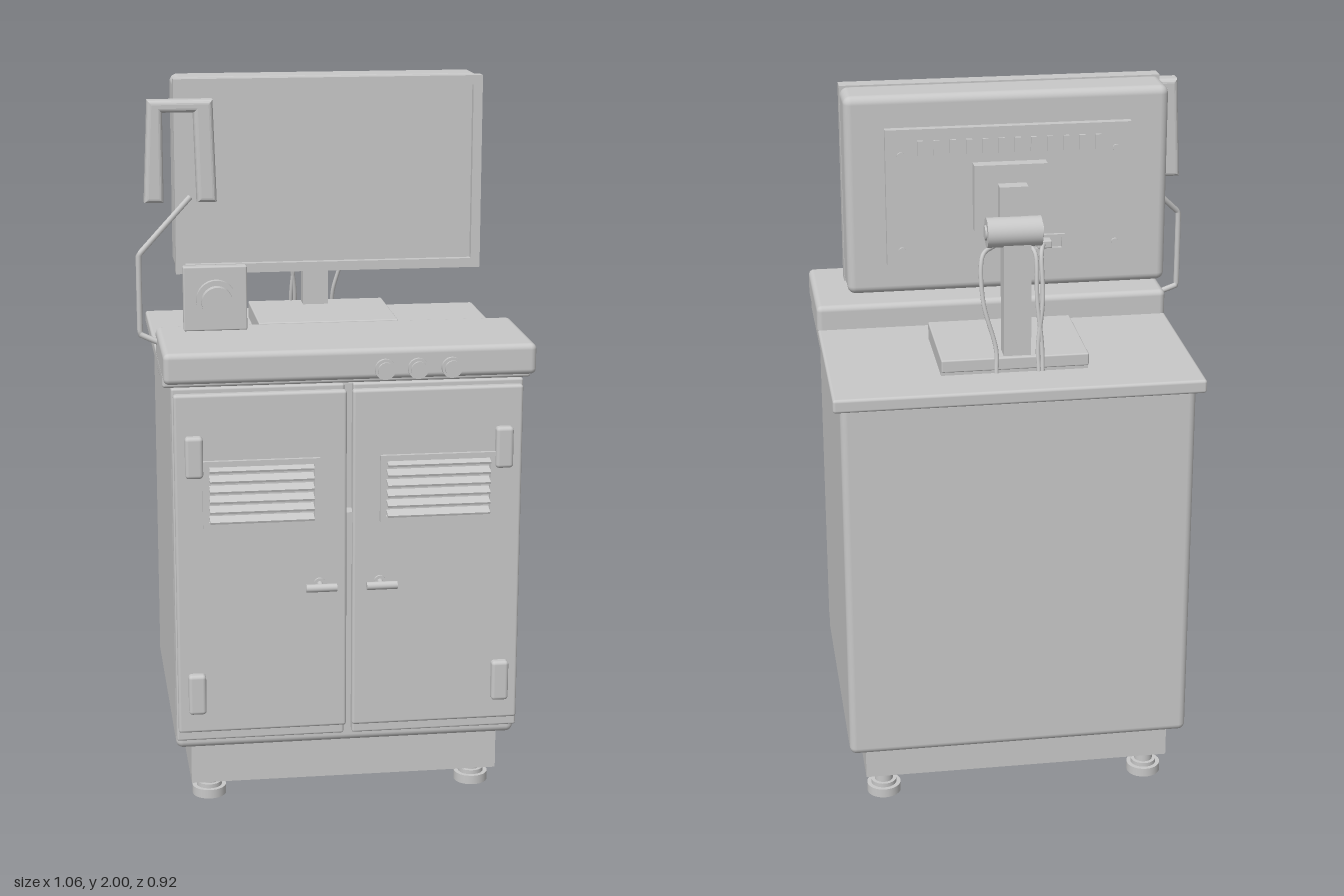
import * as THREE from 'three';
import { RoundedBoxGeometry } from 'three/addons/geometries/RoundedBoxGeometry.js';

const grey = new THREE.MeshStandardMaterial({ color: 0xc8c8c8 });
grey.name = 'light grey';

export function createModel() {
  const root = new THREE.Group();
  root.name = 'workstationCabinet';

  const add = (name, geo, parent = root) => {
    const m = new THREE.Mesh(geo, grey);
    m.name = name;
    parent.add(m);
    return m;
  };
  // Box given by its limits on each axis; r rounds the edges
  const box = (name, [x0, x1], [y0, y1], [z0, z1], r = 0, parent = root) => {
    const s = [x1 - x0, y1 - y0, z1 - z0];
    const geo = r ? new RoundedBoxGeometry(...s, 3, r) : new THREE.BoxGeometry(...s);
    const m = add(name, geo, parent);
    m.position.set((x0 + x1) / 2, (y0 + y1) / 2, (z0 + z1) / 2);
    return m;
  };
  // Cylinder of radius r centred at p, along the given axis
  const rod = (name, r, len, p, axis = 'y', parent = root) => {
    const geo = new THREE.CylinderGeometry(r, r, len, 32);
    if (axis === 'x') geo.rotateZ(Math.PI / 2);
    if (axis === 'z') geo.rotateX(Math.PI / 2);
    const m = add(name, geo, parent);
    m.position.set(...p);
    return m;
  };
  const tube = (name, pts, r, tension = 0.5) => {
    const curve = new THREE.CatmullRomCurve3(pts.map(p => new THREE.Vector3(...p)), false, 'catmullrom', tension);
    return add(name, new THREE.TubeGeometry(curve, 48, r, 10));
  };
  // Rectangular frame extruded forward from z0 to z1
  const frame = (name, [x0, x1], [y0, y1], [z0, z1], t, parent = root) => {
    const rect = (C, d) => {
      const s = new C();
      s.moveTo(x0 + d, y0 + d); s.lineTo(x1 - d, y0 + d);
      s.lineTo(x1 - d, y1 - d); s.lineTo(x0 + d, y1 - d); s.closePath();
      return s;
    };
    const s = rect(THREE.Shape, 0);
    s.holes.push(rect(THREE.Path, t));
    const m = add(name, new THREE.ExtrudeGeometry(s, { depth: z1 - z0, bevelEnabled: false }), parent);
    m.position.z = z0;
    return m;
  };

  // Cabinet, plinth and worktop
  box('cabinetBody', [-0.455, 0.503], [0.18, 1.235], [-0.437, 0.34], 0.02);
  box('plinth', [-0.413, 0.455], [0.07, 0.19], [-0.375, 0.325]);
  box('worktop', [-0.477, 0.523], [1.225, 1.263], [-0.462, 0.363], 0.008);
  box('console', [-0.477, 0.525], [1.247, 1.332], [0.075, 0.427], 0.016);

  // Levelling feet
  for (const x of [-0.357, 0.402]) for (const z of [0.235, -0.33]) {
    const foot = new THREE.Group();
    foot.name = 'foot';
    foot.position.set(x, 0, z);
    root.add(foot);
    rod('footPad', 0.048, 0.026, [0, 0.013, 0], 'y', foot);
    rod('footCollar', 0.036, 0.012, [0, 0.032, 0], 'y', foot);
    rod('footStem', 0.026, 0.04, [0, 0.055, 0], 'y', foot);
  }

  // Two doors with hinges, louvred vents and handles, mirrored about the gap
  const mid = 0.0235;
  for (const side of [-1, 1]) {
    const door = new THREE.Group();
    door.name = side < 0 ? 'rightDoor' : 'leftDoor';
    root.add(door);
    const span = (a, b) => [mid + side * a, mid + side * b].sort((p, q) => p - q);
    box('doorSeal', span(0.012, 0.478), [0.217, 1.225], [0.335, 0.37], 0.006, door);
    box('doorPanel', span(0.008, 0.474), [0.25, 1.212], [0.368, 0.395], 0.008, door);
    for (const y of [0.31, 0.985])
      box('hinge', span(0.398, 0.446), [y, y + 0.115], [0.385, 0.417], 0.01, door);
    frame('ventFrame', span(0.082, 0.4), [0.843, 1.03], [0.39, 0.406], 0.016, door);
    for (let i = 0; i < 6; i++) {
      const y = 0.868 + i * 0.0285;
      const slat = box('ventSlat', span(0.1, 0.382), [y - 0.003, y + 0.003], [0.39, 0.426], 0, door);
      slat.rotation.x = 0.3;
    }
    rod('handleBar', 0.011, 0.084, [mid + side * 0.083, 0.672, 0.437], 'x', door);
    rod('handleStem', 0.008, 0.05, [mid + side * 0.083, 0.672, 0.415], 'z', door);
    rod('handleRose', 0.016, 0.008, [mid + side * 0.083, 0.672, 0.398], 'z', door);
  }
  box('doorLatch', [0.012, 0.035], [0.72, 0.868], [0.335, 0.385]);

  // Control knobs on the console
  for (const x of [0.111, 0.2, 0.291]) {
    rod('knobBase', 0.028, 0.01, [x, 1.278, 0.44], 'z');
    rod('knobStem', 0.016, 0.035, [x, 1.278, 0.437], 'z');
    rod('knobCap', 0.022, 0.008, [x, 1.278, 0.456], 'z');
  }

  // Monitor
  frame('monitorBezel', [-0.41, 0.455], [1.457, 2], [-0.07, -0.025], 0.026);
  box('screen', [-0.386, 0.431], [1.481, 1.976], [-0.075, -0.045]);
  box('monitorShell', [-0.41, 0.455], [1.459, 2], [-0.2, -0.068], 0.022);
  box('monitorBackPlate', [-0.305, 0.35], [1.545, 1.915], [-0.222, -0.19]);
  for (let i = 0; i < 12; i++) {
    const x = -0.215 + i * 0.043;
    box('coolingRib', [x - 0.008, x + 0.008], [1.845, 1.885], [-0.23, -0.215]);
  }
  for (const x of [-0.265, 0.31]) for (const y of [1.585, 1.845])
    rod('plateScrew', 0.01, 0.012, [x, y, -0.222], 'z');
  frame('portPanel', [-0.127, 0.03], [1.57, 1.615], [-0.232, -0.215], 0.008);
  box('cablePlug', [-0.09, -0.05], [1.582, 1.604], [-0.25, -0.215], 0.004);

  // Monitor mount and stand
  box('mountPlate', [-0.075, 0.12], [1.64, 1.82], [-0.257, -0.215]);
  box('mountBlock', [-0.018, 0.058], [1.64, 1.77], [-0.295, -0.25]);
  rod('tiltHinge', 0.04, 0.146, [0.022, 1.65, -0.3], 'x');
  rod('tiltPin', 0.02, 0.156, [0.022, 1.65, -0.3], 'x');
  box('standPost', [-0.022, 0.052], [1.3, 1.65], [-0.325, -0.268]);
  box('standBase', [-0.178, 0.222], [1.275, 1.31], [-0.337, -0.027], 0.004);
  box('standShelf', [-0.178, 0.222], [1.262, 1.28], [-0.325, -0.04]);

  // Cables hanging behind the screen
  for (const [xa, xb, xc] of [[-0.07, -0.055, -0.04], [-0.02, -0.04, -0.05], [0.06, 0.105, 0.075]])
    tube('cable', [[xa, 1.595, -0.235], [xb, 1.575, -0.285], [xb, 1.46, -0.312],
      [xc, 1.34, -0.33], [xc, 1.27, -0.345]], 0.006);

  // U-shaped handset with flared legs
  const u = new THREE.Shape();
  [[-0.489, 1.69], [-0.477, 1.945], [-0.323, 1.945], [-0.315, 1.69],
    [-0.345, 1.69], [-0.352, 1.935], [-0.46, 1.935], [-0.46, 1.69]]
    .forEach(([x, y], i) => (i ? u.lineTo(x, y) : u.moveTo(x, y)));
  u.closePath();
  const handset = add('handset', new THREE.ExtrudeGeometry(u, {
    depth: 0.03, bevelThickness: 0.014, bevelSize: 0.012, bevelSegments: 4,
  }));
  handset.position.z = 0.058;

  // Bent wire arm reaching up to the handset
  tube('wireArm', [[-0.465, 1.3, 0.15], [-0.522, 1.325, 0.14], [-0.522, 1.545, 0.14],
    [-0.375, 1.69, 0.072]], 0.008, 0.02);

  // Square plate with a round dial
  box('dialPlate', [-0.418, -0.25], [1.383, 1.555], [0.353, 0.382], 0.004);
  const dial = [-0.333, 1.469];
  rod('dialHub', 0.03, 0.05, [...dial, 0.4], 'z');
  rod('dialRing', 0.053, 0.017, [...dial, 0.398], 'z');
  rod('dialKnob', 0.041, 0.026, [...dial, 0.428], 'z');

  return root;
}
